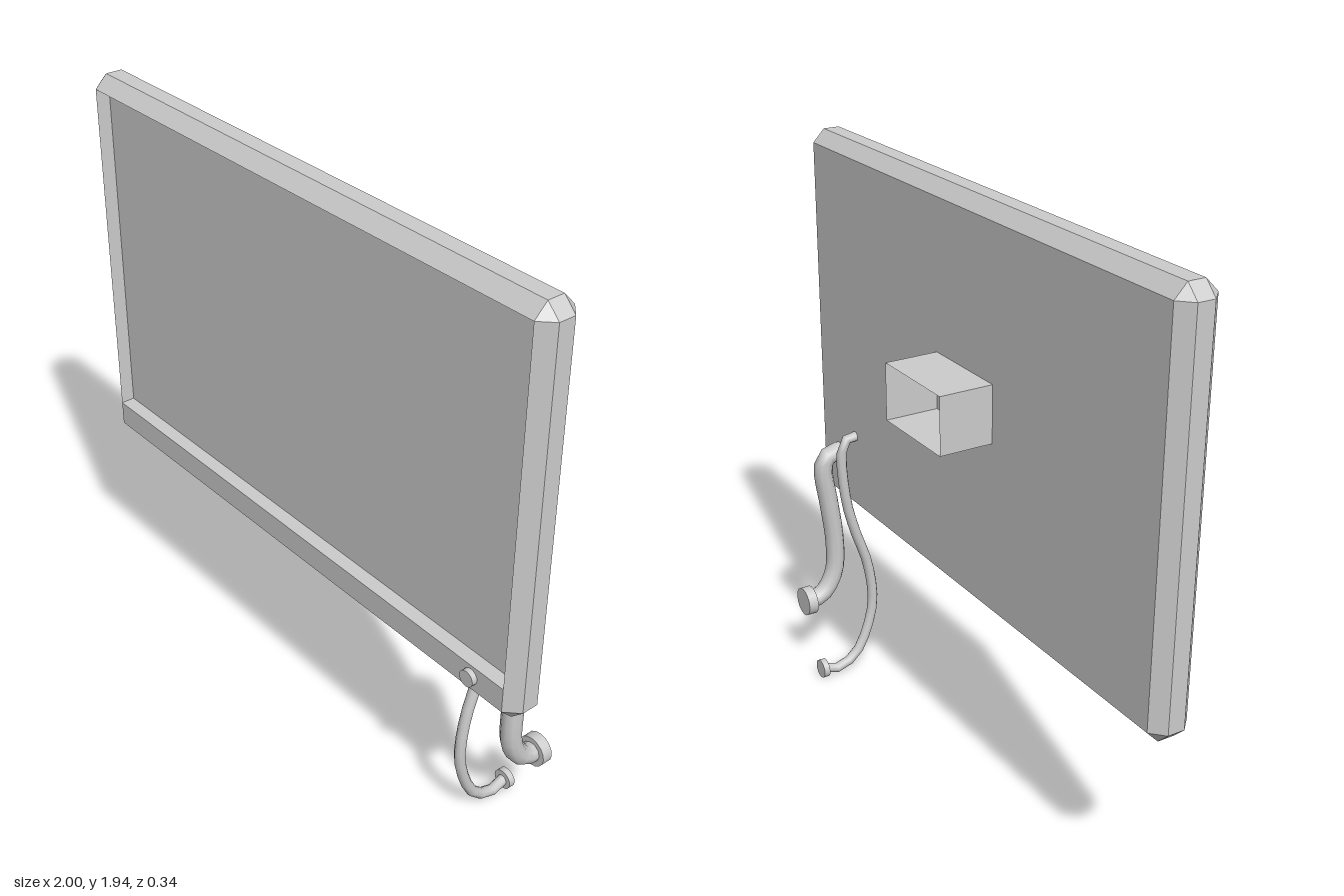
import * as THREE from 'three';

const flat = () => new THREE.MeshStandardMaterial({ color: 0xcccccc, flatShading: true });
const smooth = () => new THREE.MeshStandardMaterial({ color: 0xcccccc });

function add(group, name, geometry, material) {
  const mesh = new THREE.Mesh(geometry, material);
  mesh.name = name;
  group.add(mesh);
  return mesh;
}

// Eight-point rectangle outline, counter-clockwise from the front, corners cut by c
function ring(x, y0, y1, z, c = 0) {
  return [
    [x, y0 + c, z], [x, y1 - c, z], [x - c, y1, z], [-x + c, y1, z],
    [-x, y1 - c, z], [-x, y0 + c, z], [-x + c, y0, z], [x - c, y0, z],
  ];
}

// Skin a list of rings, closing both ends; collapsed triangles are skipped
function loft(rings) {
  const pos = [];
  const same = (a, b) => Math.hypot(a[0] - b[0], a[1] - b[1], a[2] - b[2]) < 1e-6;
  const tri = (a, b, c) => {
    if (!same(a, b) && !same(b, c) && !same(a, c)) pos.push(...a, ...b, ...c);
  };
  for (let k = 0; k < rings.length - 1; k++) {
    const a = rings[k], b = rings[k + 1];
    for (let i = 0; i < 8; i++) {
      const j = (i + 1) % 8;
      tri(a[i], a[j], b[j]);
      tri(a[i], b[j], b[i]);
    }
  }
  const first = rings[0], last = rings[rings.length - 1];
  for (let i = 1; i < 7; i++) {
    tri(first[0], first[i + 1], first[i]);
    tri(last[0], last[i], last[i + 1]);
  }
  const geometry = new THREE.BufferGeometry();
  geometry.setAttribute('position', new THREE.Float32BufferAttribute(pos, 3));
  geometry.computeVertexNormals();
  return geometry;
}

// Cable running in a plane of constant x through [z, y] points, with a round plug at its end
function cable(name, x, radius, points, plugRadius, plugDepth) {
  const group = new THREE.Group();
  group.name = name;
  const path = new THREE.CatmullRomCurve3(points.map(([z, y]) => new THREE.Vector3(x, y, z)));
  add(group, name + 'Cord', new THREE.TubeGeometry(path, 20, radius, 10), smooth());
  const plug = add(group, name + 'Plug',
    new THREE.CylinderGeometry(plugRadius, plugRadius, plugDepth, 16), smooth());
  plug.rotation.x = Math.PI / 2;
  plug.position.set(x, points[points.length - 1][1], -0.16 + plugDepth / 2);
  return group;
}

export function createModel() {
  const model = new THREE.Group();
  model.name = 'wallScreen';

  // Chamfered casing with a recessed screen above the lower control strip
  const bottom = 0.625, top = 1.945, bevel = 0.042;
  const x = 1 - bevel, y0 = bottom + bevel, y1 = top - bevel;
  add(model, 'casing', loft([
    ring(x, y0, y1, 0.012),
    ring(1, bottom, top, 0.052, bevel),
    ring(1, bottom, top, 0.108, bevel),
    ring(x, y0, y1, 0.15),
    ring(x, 0.75, y1, 0.15),
    ring(x, 0.75, y1, 0.102),
  ]), flat());

  // Power button
  const button = add(model, 'button', new THREE.CylinderGeometry(0.027, 0.027, 0.04, 16), smooth());
  button.rotation.x = Math.PI / 2;
  button.position.set(0.83, 0.711, 0.148);

  // Thin-walled wall mount, open at the back
  const w = 0.16, low = 1.23, high = 1.418, depth = 0.18;
  const mount = new THREE.Group();
  mount.name = 'wallMount';
  for (const s of [-1, 1]) {
    const side = add(mount, 'mountSide', new THREE.PlaneGeometry(depth, high - low), flat());
    side.rotation.y = s * Math.PI / 2;
    side.position.set(s * w, (low + high) / 2, 0.012 - depth / 2);
    const shelf = add(mount, 'mountShelf', new THREE.PlaneGeometry(2 * w, depth), flat());
    shelf.rotation.x = -s * Math.PI / 2;
    shelf.position.set(0, s > 0 ? high : low, 0.012 - depth / 2);
    side.material.side = shelf.material.side = THREE.DoubleSide;
  }
  model.add(mount);

  // Hanging cables
  model.add(cable('thickCable', 0.843, 0.034, [
    [0.03, 0.825], [-0.02, 0.825], [-0.05, 0.805], [-0.058, 0.76], [-0.042, 0.64],
    [-0.024, 0.48], [-0.03, 0.36], [-0.065, 0.29], [-0.1, 0.265], [-0.14, 0.26],
  ], 0.052, 0.036));
  model.add(cable('thinCable', 0.722, 0.018, [
    [0.03, 0.93], [-0.01, 0.93], [-0.038, 0.905], [-0.045, 0.85], [-0.03, 0.68],
    [0.0, 0.56], [0.045, 0.42], [0.062, 0.27], [0.042, 0.17], [-0.005, 0.07],
    [-0.055, 0.03], [-0.1, 0.02], [-0.145, 0.036],
  ], 0.034, 0.022));
  return model;
}
